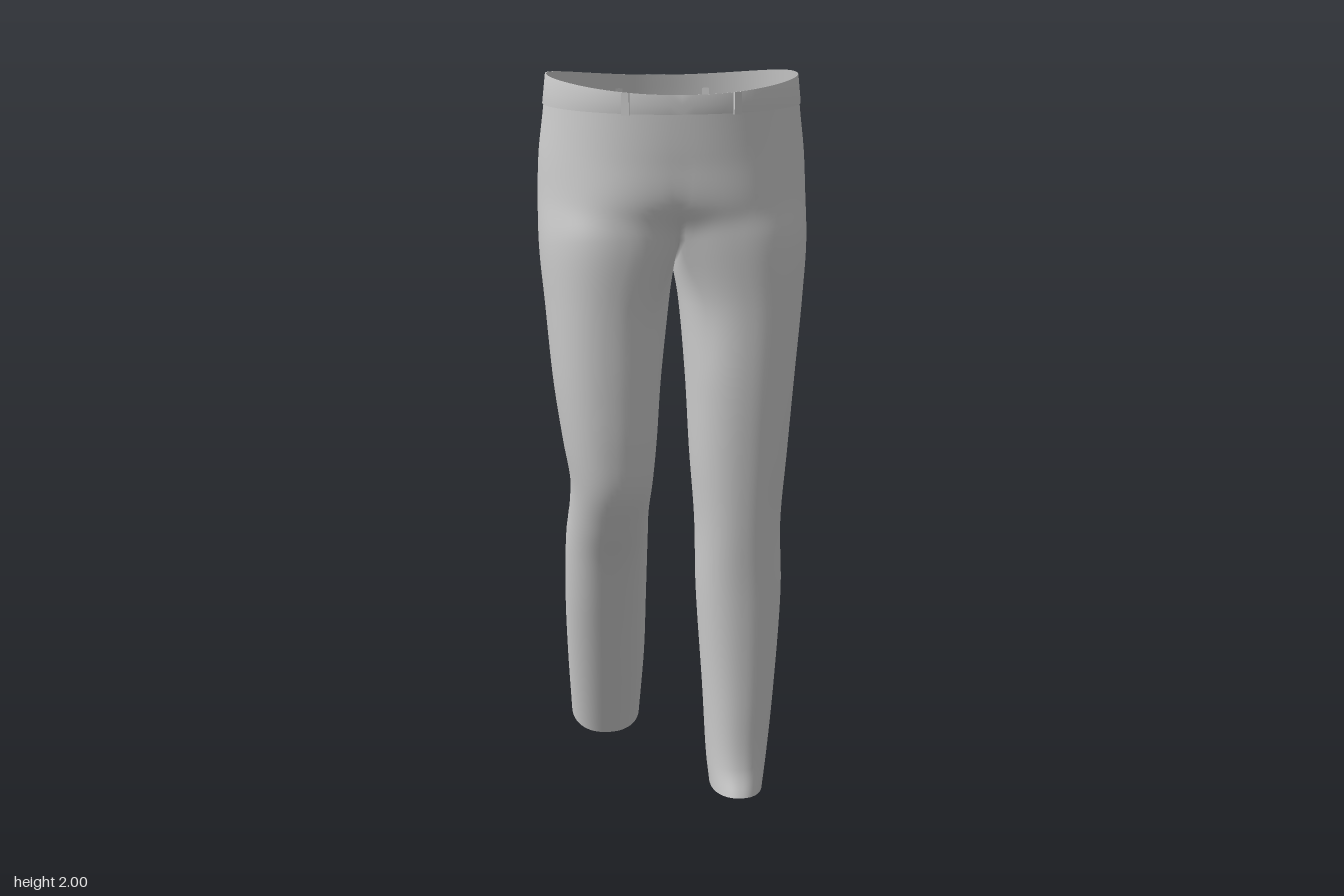
import * as THREE from 'three';
import { mergeVertices } from 'three/addons/utils/BufferGeometryUtils.js';

const OUT = 48, IN = 24, RING = OUT + IN; // columns on the outer and inner side of a leg
const SUB = 7;                            // rows between two cross-sections
const CROTCH = 4;                         // index of the section where the legs part

// Hip sections: front y, front z, back y, back z, half width, lobe angle
const HIPS = [
  [1.965, 0.302, 1.975, -0.215, 0.327, 0],
  [1.9, 0.303, 1.9, -0.226, 0.338, 0],
  [1.8, 0.302, 1.8, -0.236, 0.35, 0.04],
  [1.69, 0.298, 1.69, -0.222, 0.355, 0.2],
  [1.6, 0.29, 1.51, -0.15, 0.355, 0.7],
];
// Leg sections: front y, front z, back y, back z, inner x, outer x
const STRAIGHT = [
  [1.42, 0.283, 1.4, -0.1, 0.014, 0.343],
  [1.2, 0.28, 1.2, -0.045, 0.03, 0.322],
  [1.0, 0.272, 1.0, -0.015, 0.04, 0.305],
  [0.8, 0.262, 0.8, -0.005, 0.055, 0.29],
  [0.6, 0.25, 0.6, 0, 0.06, 0.295],
  [0.3, 0.243, 0.3, 0.005, 0.08, 0.278],
  [0.1, 0.25, 0.08, 0.01, 0.092, 0.258],
  [0.025, 0.275, 0, 0.015, 0.1, 0.245],
];
const BENT = [
  [1.42, 0.283, 1.4, -0.1, 0.014, 0.343],
  [1.2, 0.28, 1.2, -0.05, 0.038, 0.325],
  [1.03, 0.272, 1.04, -0.02, 0.05, 0.302],
  [0.91, 0.255, 0.94, -0.015, 0.06, 0.284],
  [0.8, 0.21, 0.87, -0.045, 0.068, 0.285],
  [0.68, 0.15, 0.77, -0.115, 0.066, 0.293],
  [0.5, 0.075, 0.58, -0.18, 0.065, 0.295],
  [0.3, -0.003, 0.37, -0.245, 0.065, 0.288],
  [0.075, -0.09, 0.145, -0.305, 0.075, 0.275],
];

const soft = (v) => Math.sign(v) * Math.abs(v) ** 0.9; // slightly squared ellipse

// One closed cross-section: outer arc from front seam to back seam, then inner arc
function section(key, index) {
  const [yf, zf, yb, zb, a, b] = key;
  const hip = index <= CROTCH;
  const s = hip ? b : 0.7;
  const rx = hip ? a / (1 + soft(Math.sin(s))) : (b - a) / 2;
  const cx = hip ? rx * soft(Math.sin(s)) : (a + b) / 2;
  const at = (angle) => {
    const c = soft(Math.cos(angle));
    return new THREE.Vector3(
      cx + rx * soft(Math.sin(angle)),
      (yf + yb) / 2 + (c * (yf - yb)) / 2,
      (zf + zb) / 2 + (c * (zf - zb)) / 2);
  };
  const points = [];
  for (let i = 0; i <= OUT; i++) points.push(at(-s + (i / OUT) * (Math.PI + 2 * s)));
  const front = points[0].clone(), back = points[OUT].clone();
  for (let i = 1; i < IN; i++) {
    const v = i / IN;
    if (hip) {
      // the seam running under the body from back to front
      const p = back.clone().lerp(front, v);
      if (index === CROTCH) p.y -= 0.035 * Math.sin(Math.PI * v);
      points.push(p);
    } else points.push(at(Math.PI + s + v * (Math.PI - 2 * s)));
  }
  // the waist edge rises toward the sides
  if (index === 0) points.forEach((p) => { p.y += 0.03 * (p.x / a) ** 2; });
  return points;
}

// Surface of one half as a function of column and section number
function halfSurface(legKeys, side) {
  const rings = [...HIPS, ...legKeys].map(section);
  const last = rings.length - 1;
  const columns = [];
  for (let i = 0; i < RING; i++) {
    columns.push(new THREE.CatmullRomCurve3(rings.map((r) => r[i]), false, 'centripetal'));
  }
  const at = (i, t) => {
    const p = columns[i % RING].getPoint(t / last);
    p.x = Math.max(0, p.x);
    if (t <= CROTCH && (i === 0 || i >= OUT)) p.x = 0;
    if (side < 0) {
      // gathered folds behind the bent knee
      const g = Math.exp(-(((p.y - 0.86) / 0.1) ** 2));
      const rear = 1 - THREE.MathUtils.smoothstep(p.z, -0.03, 0.13);
      p.z -= 0.009 * g * rear * Math.sin(p.y * 105 + p.x * 18);
    }
    p.x *= side;
    return p;
  };
  return { at, last, side };
}

function finish(positions, indices) {
  let g = new THREE.BufferGeometry();
  g.setAttribute('position', new THREE.Float32BufferAttribute(positions, 3));
  g.setIndex(indices);
  g = mergeVertices(g, 1e-5);
  g.computeVertexNormals();
  return g;
}

function addQuad(indices, a, b, c, d, side) {
  if (side > 0) indices.push(a, c, b, b, c, d);
  else indices.push(a, b, c, b, d, c);
}

// Hips and both legs as one continuous cloth
function clothGeometry(halves) {
  const positions = [], indices = [];
  for (const { at, last, side } of halves) {
    const base = positions.length / 3, rows = last * SUB;
    for (let j = 0; j <= rows; j++) {
      for (let i = 0; i < RING; i++) positions.push(...at(i, j / SUB).toArray());
    }
    for (let j = 0; j < rows; j++) {
      const columns = j >= CROTCH * SUB ? RING : OUT;
      for (let i = 0; i < columns; i++) {
        const a = base + j * RING + i, b = base + j * RING + ((i + 1) % RING);
        addQuad(indices, a, b, a + RING, b + RING, side);
      }
    }
  }
  return finish(positions, indices);
}

// Thin raised strip around the waist
function bandGeometry(halves) {
  const positions = [], indices = [];
  const profile = [[0, 1], [0, 1.01], [0.4, 1.01], [0.75, 1.01], [0.75, 1]];
  for (const { at, side } of halves) {
    const base = positions.length / 3, w = OUT + 1;
    for (const [t, k] of profile) {
      for (let i = 0; i <= OUT; i++) {
        const p = at(i, t);
        positions.push(p.x * k, p.y, 0.04 + (p.z - 0.04) * k);
      }
    }
    for (let j = 0; j < profile.length - 1; j++) {
      for (let i = 0; i < OUT; i++) {
        const a = base + j * w + i;
        addQuad(indices, a, a + 1, a + w, a + w + 1, side);
      }
    }
  }
  return finish(positions, indices);
}

export function createModel() {
  const group = new THREE.Group();
  const material = new THREE.MeshStandardMaterial({ color: 0xcccccc, side: THREE.DoubleSide });
  const add = (name, geometry) => {
    const mesh = new THREE.Mesh(geometry, material);
    mesh.name = name;
    group.add(mesh);
    return mesh;
  };
  const halves = [halfSurface(STRAIGHT, 1), halfSurface(BENT, -1)];

  add('trousers', clothGeometry(halves));
  add('waistband', bandGeometry(halves));

  for (const { at, side } of halves) {
    const label = side > 0 ? 'left' : 'right';

    // belt loops at front, side and back
    [['Front', 6], ['Side', 29], ['Back', 43]].forEach(([place, i]) => {
      const p = at(i, 0.4);
      const along = at(i + 1, 0.4).sub(at(i - 1, 0.4));
      const out = new THREE.Vector3(-along.z * side, 0, along.x * side).normalize();
      if (out.x * p.x + out.z * (p.z - 0.04) < 0) out.negate();
      const loop = add(`${label}${place}BeltLoop`, new THREE.BoxGeometry(0.02, 0.055, 0.008));
      loop.position.copy(p).addScaledVector(out, 0.005);
      loop.rotation.y = Math.atan2(out.x, out.z);
    });

    // welt of the back pocket
    const path = [];
    for (let i = 36; i <= 43; i++) path.push(at(i, 1.8));
    add(`${label}BackPocketWelt`,
      new THREE.TubeGeometry(new THREE.CatmullRomCurve3(path), 20, 0.004, 6));
  }
  return group;
}
